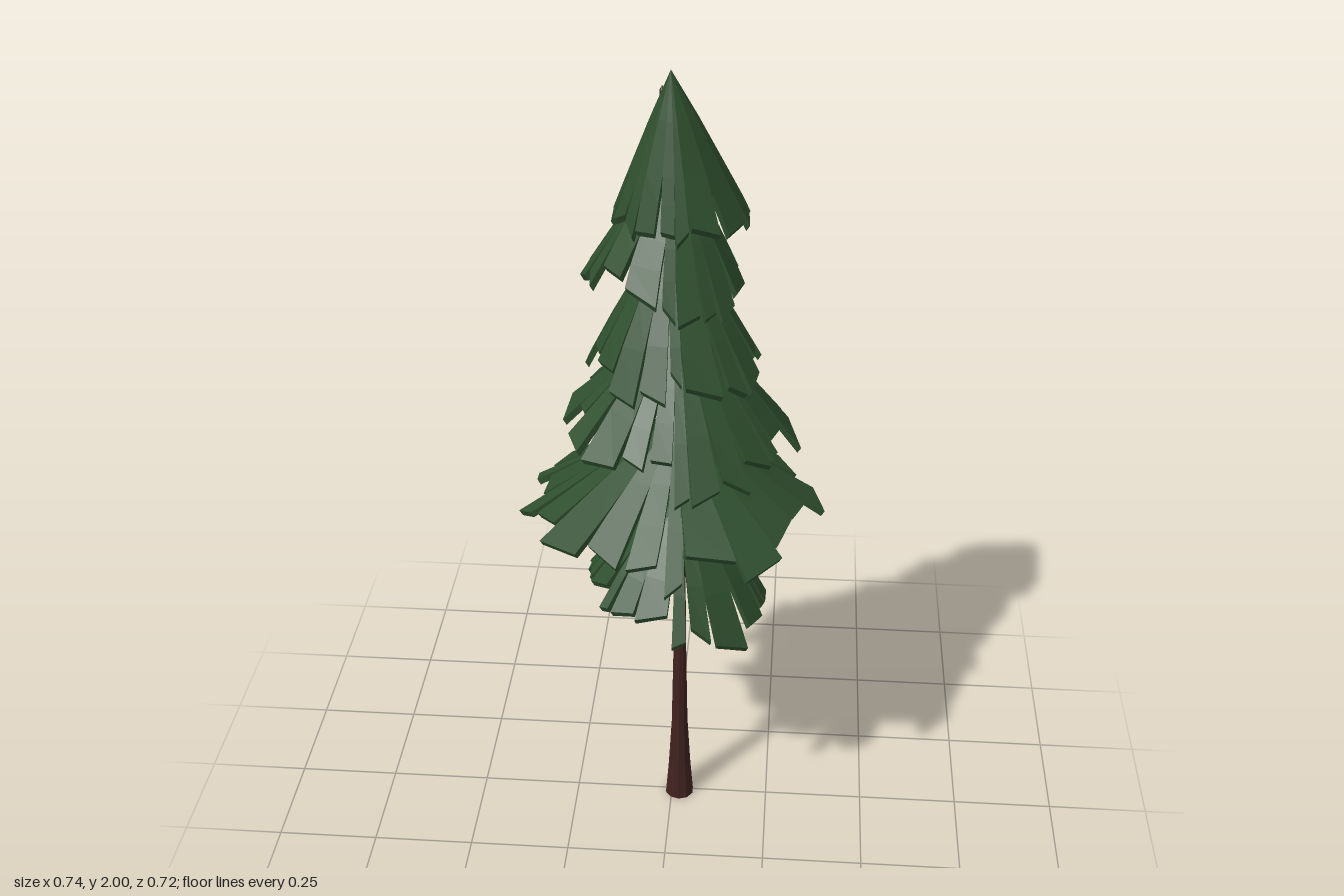
import * as THREE from 'three';

// Small seeded generator so the ragged strips are repeatable
function seeded(seed) {
  let s = seed;
  return () => {
    s = (s * 16807) % 2147483647;
    return s / 2147483647;
  };
}

const green = new THREE.MeshStandardMaterial({ color: 0x2f4f2f, flatShading: true, side: THREE.DoubleSide });
const bark = new THREE.MeshStandardMaterial({ color: 0x40231f, flatShading: true });

// Bough tiers, top to bottom: apex, hem centre, hem radius, drop, profile power,
// hem tilt along x and z, strip count, shortest strip, how far down the gaps start
const tiers = [
  { name: 'crownTier', apex: [0, 2, 0.035], hem: [0.02, -0.015], r: 0.155, drop: 0.345, p: 1.05, tilt: [0, 0], n: 17, min: 0.95, gap: 0.72 },
  { name: 'upperTier', apex: [0, 1.8, 0.005], hem: [-0.01, 0], r: 0.195, drop: 0.32, p: 1.25, tilt: [-0.17, 0.08], n: 18, min: 0.82, gap: 0.55 },
  { name: 'upperMiddleTier', apex: [0, 1.62, 0.005], hem: [0.005, 0], r: 0.21, drop: 0.34, p: 1.25, tilt: [0.02, 0.02], n: 18, min: 0.84, gap: 0.5 },
  { name: 'lowerMiddleTier', apex: [0.01, 1.42, 0], hem: [0.02, -0.015], r: 0.285, drop: 0.32, p: 1.1, tilt: [-0.16, -0.09], n: 20, min: 0.8, gap: 0.45 },
  { name: 'wideTier', apex: [0.01, 1.17, 0], hem: [0, 0], r: 0.365, drop: 0.275, p: 0.92, tilt: [0, 0], n: 21, min: 0.8, gap: 0.4 },
  { name: 'lowestTier', apex: [0.02, 0.93, 0], hem: [0.015, 0], r: 0.245, drop: 0.3, p: 1.5, tilt: [-0.2, 0.1], n: 20, min: 0.84, gap: 0.5 },
];

// One tier: a ring of thick drooping strips that join near the apex
function makeTier(d, rand) {
  const pos = [];
  const quad = (a, b, c, e) => pos.push(...a, ...b, ...c, ...a, ...c, ...e);

  // Point on the bough surface at angle a, fraction t from apex to hem
  const point = (a, t, inset) => {
    const r = Math.max(0, d.r * t - inset * 0.6);
    const x = Math.sin(a) * r, z = Math.cos(a) * r;
    return [
      d.apex[0] + (d.hem[0] - d.apex[0]) * t + x,
      d.apex[1] - d.drop * Math.pow(t, d.p) + t * (x * d.tilt[0] + z * d.tilt[1]) - inset,
      d.apex[2] + (d.hem[1] - d.apex[2]) * t + z,
    ];
  };

  // Uneven slots around the circle
  const widths = Array.from({ length: d.n }, () => 0.45 + rand());
  const total = widths.reduce((a, b) => a + b, 0);
  let start = 0;
  for (const w of widths) {
    const slot = (w / total) * Math.PI * 2;
    const mid = start + slot / 2 + (rand() - 0.5) * slot * 0.12;
    const len = d.min + (1 - d.min) * rand();
    const gap = d.gap * (0.8 + 0.35 * rand());
    const skew = (rand() - 0.5) * 0.08;
    const spread = 0.7 + 0.24 * rand();
    const rows = [[0, 1], [gap * 0.5, 1], [gap, 1], [(gap + len) / 2, (1 + spread) / 2], [len, spread]];
    const rings = rows.map(([t, k], i) => {
      const c = i < 3 ? start + slot / 2 : mid;
      const lo = c - slot * k / 2, hi = c + slot * k / 2;
      const s = i === 4 ? skew : 0;
      return [point(lo, t - s, 0), point(hi, t + s, 0), point(hi, t + s, 0.014), point(lo, t - s, 0.014)];
    });
    for (let i = 0; i < 4; i++) {
      const A = rings[i], B = rings[i + 1];
      quad(A[0], B[0], B[1], A[1]);
      quad(A[3], A[2], B[2], B[3]);
      if (i > 1) {
        quad(A[1], B[1], B[2], A[2]);
        quad(A[0], A[3], B[3], B[0]);
      }
    }
    const E = rings[4];
    quad(E[0], E[3], E[2], E[1]);
    start += slot;
  }

  const geo = new THREE.BufferGeometry();
  geo.setAttribute('position', new THREE.Float32BufferAttribute(pos, 3));
  geo.computeVertexNormals();
  const mesh = new THREE.Mesh(geo, green);
  mesh.name = d.name;
  return mesh;
}

// Flared trunk, leaning slightly toward its tip
function makeTrunk() {
  const profile = [[0, 0], [0.037, 0], [0.029, 0.1], [0.021, 0.24], [0.017, 0.45], [0.015, 0.75],
    [0.012, 1.2], [0.009, 1.6], [0.006, 1.94], [0, 1.95]];
  const geo = new THREE.LatheGeometry(profile.map(([x, y]) => new THREE.Vector2(x, y)), 10);
  const p = geo.attributes.position;
  for (let i = 0; i < p.count; i++) {
    const lean = Math.max(0, (p.getY(i) - 0.7) / 1.25);
    p.setX(i, p.getX(i) + 0.02 - 0.042 * lean);
    p.setZ(i, p.getZ(i) + 0.006 - 0.015 * lean);
  }
  geo.computeVertexNormals();
  const mesh = new THREE.Mesh(geo, bark);
  mesh.name = 'trunk';
  return mesh;
}

// Thin bare twig following a short curve
function makeTwig(points) {
  const curve = new THREE.CatmullRomCurve3(points.map((q) => new THREE.Vector3(...q)));
  const mesh = new THREE.Mesh(new THREE.TubeGeometry(curve, 6, 0.004, 5), bark);
  mesh.name = 'twig';
  return mesh;
}

export function createModel() {
  const tree = new THREE.Group();
  tree.name = 'coniferTree';
  tree.add(makeTrunk());

  const foliage = new THREE.Group();
  foliage.name = 'foliage';
  tiers.forEach((d, i) => foliage.add(makeTier(d, seeded(4211 + i * 977))));
  tree.add(foliage);

  tree.add(
    makeTwig([[0.02, 0.8, 0], [-0.08, 0.77, -0.06], [-0.18, 0.78, -0.14]]),
    makeTwig([[0.015, 0.94, 0], [-0.05, 0.97, 0.05], [-0.09, 1.04, 0.09]]),
  );
  return tree;
}
